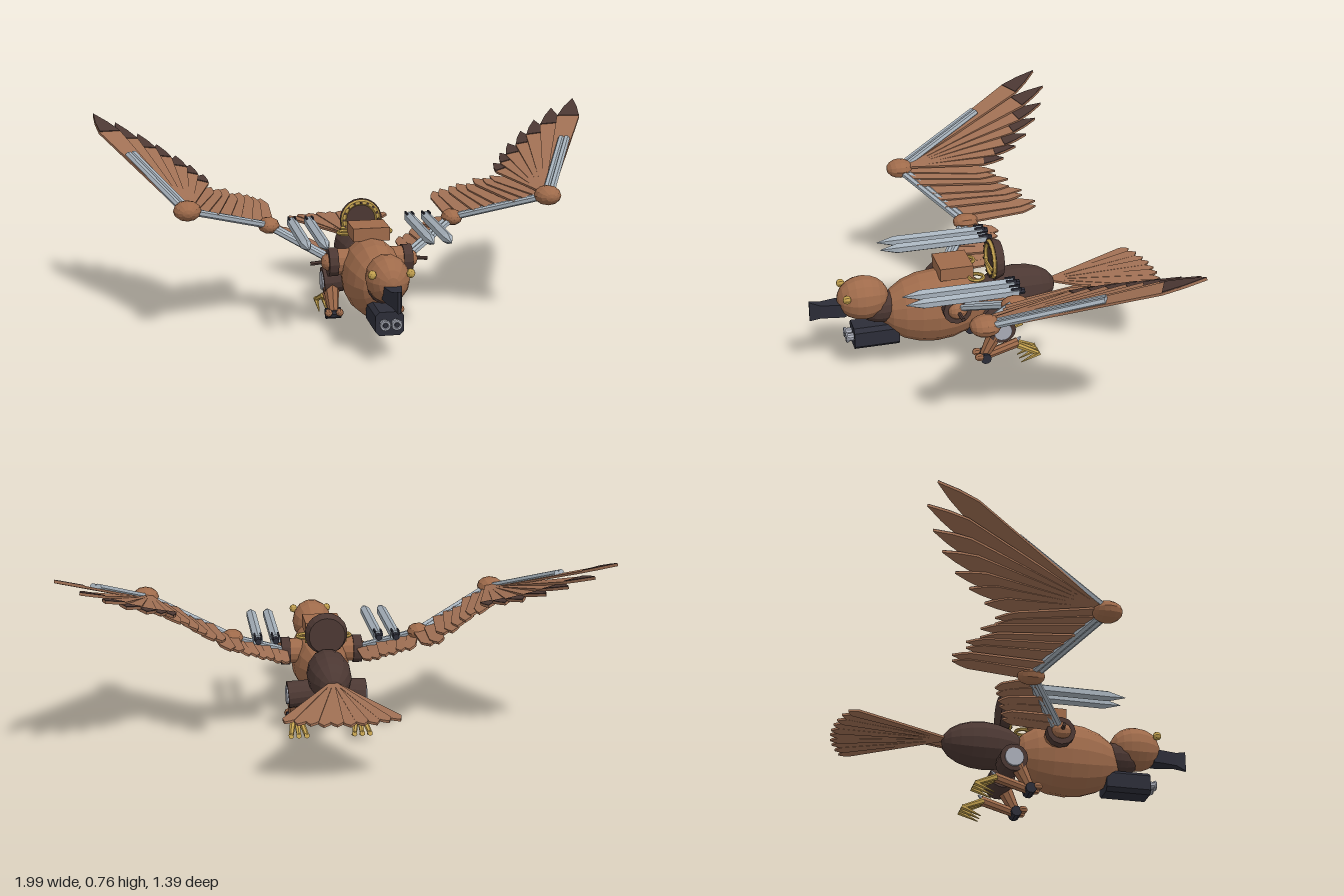
import * as THREE from 'three';

const V = (x, y, z) => new THREE.Vector3(x, y, z);
const mat = (name, color) => {
  const m = new THREE.MeshStandardMaterial({ color });
  m.name = name;
  return m;
};

export function createModel() {
  const copper = mat('copper', 0x9f6b4b);
  const plume = mat('featherBrown', 0xa07054);
  const dark = mat('darkBrown', 0x4c3833);
  const steel = mat('steel', 0xa6b1bb);
  const slate = mat('slate', 0x2c2d38);
  const gold = mat('gold', 0xc2a04e);
  const silver = mat('silver', 0xa8abb6);
  const model = new THREE.Group();
  model.name = 'mechanicalBird';

  // Faceted mesh helper
  const add = (parent, name, geo, material, pos) => {
    const g = geo.index ? geo.toNonIndexed() : geo;
    g.computeVertexNormals();
    const m = new THREE.Mesh(g, material);
    m.name = name;
    if (pos) m.position.copy(pos);
    parent.add(m);
    return m;
  };
  const blob = (p, name, c, rx, ry, rz, m, ws = 14, hs = 10) =>
    add(p, name, new THREE.SphereGeometry(1, ws, hs).rotateX(Math.PI / 2).scale(rx, ry, rz), m, c);
  const rod = (p, name, a, b, r0, r1, m, sides = 8) => {
    const d = b.clone().sub(a);
    const mesh = add(p, name, new THREE.CylinderGeometry(r1, r0, d.length(), sides), m,
      a.clone().add(b).multiplyScalar(0.5));
    mesh.quaternion.setFromUnitVectors(V(0, 1, 0), d.normalize());
    return mesh;
  };
  const group = (name, parent = model) => {
    const g = new THREE.Group();
    g.name = name;
    parent.add(g);
    return g;
  };
  const plate = (points, depth) => new THREE.ExtrudeGeometry(
    new THREE.Shape(points.map(([x, y]) => new THREE.Vector2(x, y))), { depth, bevelEnabled: false });

  // Pointed feather from base to tip, lying along the given span direction;
  // shoulder is the fraction of the length where the point begins
  const feather = (p, base, tip, span, w0, w1, lift, tilt, shoulder, tipMat) => {
    const y = tip.clone().sub(base);
    const L = y.length();
    y.normalize();
    const z = y.clone().cross(span).normalize();
    if (z.y < 0) z.negate();
    z.applyAxisAngle(y, tilt);
    const basis = new THREE.Matrix4().makeBasis(y.clone().cross(z), y, z)
      .setPosition(base.clone().addScaledVector(z, lift));
    const k = L * shoulder, mid = (k + L) / 2;
    add(p, 'feather', plate([[-w0, 0], [w0, 0], [w1, k], [w1 * 0.6, mid], [0, L], [-w1 * 0.6, mid], [-w1, k]], 0.009)
      .applyMatrix4(basis), plume);
    // Dark cap on the upper face of the point
    if (tipMat) {
      add(p, 'featherCap', plate([[-w1 * 0.95, k], [w1 * 0.95, k], [w1 * 0.6, mid], [0, L], [-w1 * 0.6, mid]], 0.003)
        .translate(0, 0, 0.009).applyMatrix4(basis), tipMat);
    }
  };

  // Body, neck and head
  blob(model, 'body', V(0, 0.225, 0.21), 0.115, 0.147, 0.215, copper, 16, 10);
  blob(model, 'rearBody', V(0, 0.255, -0.115), 0.085, 0.095, 0.16, dark, 14, 10);
  blob(model, 'neck', V(0, 0.25, 0.42), 0.06, 0.065, 0.09, dark);
  blob(model, 'head', V(0, 0.297, 0.49), 0.08, 0.088, 0.1, copper);
  for (const s of [-1, 1]) {
    blob(model, 'eye', V(s * 0.07, 0.332, 0.562), 0.016, 0.018, 0.016, gold, 8, 6);
  }

  // Beak: narrow in plan, flaring upright at the end
  const beak = new THREE.BoxGeometry(1, 1, 1, 1, 1, 3);
  const bp = beak.attributes.position;
  const sections = [[0.56, 0.033, 0.027], [0.595, 0.03, 0.027], [0.655, 0.018, 0.027], [0.697, 0.005, 0.04]];
  for (let i = 0; i < bp.count; i++) {
    const [z, hx, hy] = sections[Math.round((bp.getZ(i) + 0.5) * 3)];
    bp.setXYZ(i, Math.sign(bp.getX(i)) * hx, 0.265 + Math.sign(bp.getY(i)) * hy, z);
  }
  add(model, 'beak', beak, slate);

  // Twin gun under the head
  const gun = group('chinGun');
  const c = 0.015, gw = 0.052, gh = 0.044;
  add(gun, 'gunHousing', plate([[-gw + c, -gh], [gw - c, -gh], [gw, -gh + c], [gw, gh - c],
    [gw - c, gh], [-gw + c, gh], [-gw, gh - c], [-gw, -gh + c]], 0.175), slate, V(0, 0.14, 0.36));
  for (const s of [-1, 1]) {
    rod(gun, 'barrel', V(s * 0.021, 0.142, 0.53), V(s * 0.021, 0.142, 0.56), 0.016, 0.016, silver, 10);
    add(gun, 'muzzleRing', new THREE.TorusGeometry(0.015, 0.006, 6, 12), silver, V(s * 0.021, 0.142, 0.56));
    rod(gun, 'bore', V(s * 0.021, 0.142, 0.558), V(s * 0.021, 0.142, 0.563), 0.009, 0.009, slate, 10);
  }

  // Back saddle, handles and upright gear
  add(model, 'saddle', new THREE.BoxGeometry(0.14, 0.05, 0.13), copper, V(0, 0.385, 0.135));
  for (const s of [-1, 1]) {
    add(model, 'handle', new THREE.TorusGeometry(0.028, 0.007, 6, 14).rotateX(Math.PI / 2), gold,
      V(s * 0.075, 0.362, 0.06));
  }
  rod(model, 'handleBar', V(-0.08, 0.362, -0.012), V(0.08, 0.362, -0.012), 0.007, 0.007, gold, 6);
  const gear = group('backGear');
  rod(gear, 'gearDisc', V(0, 0.393, -0.055), V(0, 0.393, -0.02), 0.07, 0.083, dark, 18);
  add(gear, 'gearRim', new THREE.TorusGeometry(0.067, 0.011, 6, 20), gold, V(0, 0.393, -0.018));
  for (let i = 0; i < 16; i++) {
    const a = i / 16 * Math.PI * 2;
    const stud = add(gear, 'gearStud', new THREE.BoxGeometry(0.008, 0.008, 0.006), dark,
      V(Math.cos(a) * 0.067, 0.393 + Math.sin(a) * 0.067, -0.008));
    stud.rotation.z = a;
  }

  // Tail fan
  const tail = group('tailFan');
  for (let i = 0; i < 10; i++) {
    const a = THREE.MathUtils.degToRad(-24.5 + i * 5.9);
    const r = 0.455;
    feather(tail, V(0, 0.268, -0.24), V(Math.sin(a) * r, 0.258, -0.24 - Math.cos(a) * r),
      V(1, 0, 0), 0.004, 0.023, (i % 2) * 0.002 - 0.004, 0.03, 0.93);
  }

  for (const s of [-1, 1]) {
    const P = (x, y, z) => V(s * x, y, z);
    const side = s > 0 ? 'left' : 'right';

    // Wing frame
    const wing = group(side + 'Wing');
    const shoulder = P(0.14, 0.28, 0.15), elbow = P(0.36, 0.387, -0.01);
    const wrist = P(0.685, 0.505, 0.19), end = P(0.865, 0.65, -0.18);
    rod(wing, 'shoulderSocket', P(0.07, 0.275, 0.155), P(0.125, 0.275, 0.155), 0.05, 0.05, copper, 12);
    rod(wing, 'shoulderRing', P(0.125, 0.275, 0.155), P(0.16, 0.275, 0.155), 0.056, 0.056, dark, 12);
    blob(wing, 'shoulderBall', P(0.155, 0.275, 0.155), 0.032, 0.035, 0.038, copper, 10, 8);
    rod(wing, 'shoulderPin', P(0.18, 0.275, 0.155), P(0.225, 0.27, 0.15), 0.008, 0.008, dark, 6);
    blob(wing, 'elbowJoint', elbow, 0.042, 0.032, 0.052, copper, 10, 8);
    blob(wing, 'wristJoint', wrist, 0.052, 0.038, 0.055, copper, 12, 8);
    for (const [a, b] of [[shoulder, elbow], [elbow, wrist], [wrist, end]]) {
      const off = b.clone().sub(a).cross(V(0, 1, 0)).normalize().multiplyScalar(0.011);
      for (const k of [-1, 1]) {
        const o = off.clone().multiplyScalar(k);
        rod(wing, 'wingStrut', a.clone().add(o), b.clone().add(o), 0.013, 0.013, steel, 6);
      }
    }

    // Primary feathers fan out from the wrist
    const span = P(0.42, 0.22, -0.25);
    const tips = [[0.995, 0.76, -0.48], [0.91, 0.715, -0.5], [0.825, 0.67, -0.465], [0.755, 0.63, -0.42],
      [0.685, 0.59, -0.36], [0.635, 0.56, -0.3], [0.59, 0.53, -0.235]];
    tips.forEach((t, i) => {
      feather(wing, wrist, P(...t), span, 0.014, 0.046 - i * 0.002, -0.012 + i * 0.003, s * 0.2, 0.81, dark);
    });
    // Secondary feathers along the forearm
    for (let i = 0; i < 8; i++) {
      const t = i / 7;
      const base = wrist.clone().lerp(elbow, t * 0.97);
      const tip = P(0.56 - 0.205 * t, 0.505 - 0.085 * t, -0.19 - 0.14 * t + (i % 2) * 0.025);
      feather(wing, base, tip, P(0.33, 0.118, 0.2), 0.03, 0.028, -0.008 + (i % 3) * 0.004, s * 0.25, 0.8);
    }
    // Short inner feathers along the upper arm
    for (let i = 0; i < 6; i++) {
      const t = (i + 0.5) / 6;
      const base = elbow.clone().lerp(shoulder, t);
      feather(wing, base, P(0.32 - 0.17 * t, 0.36 - 0.07 * t, -0.14 + 0.07 * t), P(0.22, 0.1, -0.1),
        0.022, 0.022, -0.008 + (i % 2) * 0.004, s * 0.15, 0.8);
    }

    // Rockets beside the inner wing
    for (const x of [0.198, 0.265]) {
      const rocket = group('rocket');
      rod(rocket, 'rocketTube', P(x, 0.385, -0.05), P(x, 0.385, 0.31), 0.021, 0.021, steel, 6);
      rod(rocket, 'rocketNose', P(x, 0.385, 0.31), P(x, 0.385, 0.378), 0.021, 0.001, steel, 6);
      rod(rocket, 'rocketNozzle', P(x, 0.385, 0.0), P(x, 0.385, 0.0).setZ(-0.075), 0.016, 0.012, slate, 8);
      for (const k of [-1, 1]) {
        add(rocket, 'rocketFin', new THREE.BoxGeometry(0.006, 0.018, 0.04), slate, P(x + k * 0.012, 0.397, -0.04));
      }
    }

    // Leg with hip disc, folded shank and claws
    const leg = group(side + 'Leg');
    rod(leg, 'hip', P(0.05, 0.16, -0.025), P(0.15, 0.152, -0.025), 0.05, 0.053, dark, 14);
    rod(leg, 'hipDisc', P(0.148, 0.152, -0.025), P(0.157, 0.152, -0.025), 0.036, 0.036, silver, 14);
    rod(leg, 'thigh', P(0.12, 0.145, -0.01), P(0.12, 0.045, 0.04), 0.034, 0.02, copper, 8);
    rod(leg, 'ankleJoint', P(0.09, 0.037, 0.04), P(0.15, 0.037, 0.04), 0.021, 0.021, slate, 10);
    for (const x of [0.098, 0.142]) {
      blob(leg, 'heelKnob', P(x, 0.046, 0.066), 0.015, 0.016, 0.018, copper, 8, 6);
    }
    rod(leg, 'shank', P(0.12, 0.04, 0.03), P(0.12, 0.078, -0.095), 0.018, 0.02, copper, 8);
    rod(leg, 'spur', P(0.12, 0.07, -0.075), P(0.12, 0.1, -0.105), 0.013, 0.004, silver, 6);
    for (const k of [-1, 0, 1]) {
      const x0 = 0.122 + k * 0.014, x1 = 0.122 + k * 0.03;
      rod(leg, 'toe', P(x0, 0.072, -0.09), P(x1, 0.034, -0.17), 0.012, 0.009, gold, 6);
      rod(leg, 'claw', P(x1, 0.036, -0.175), P(x1, 0.004, -0.1), 0.011, 0.002, gold, 6);
    }
  }
  return model;
}
